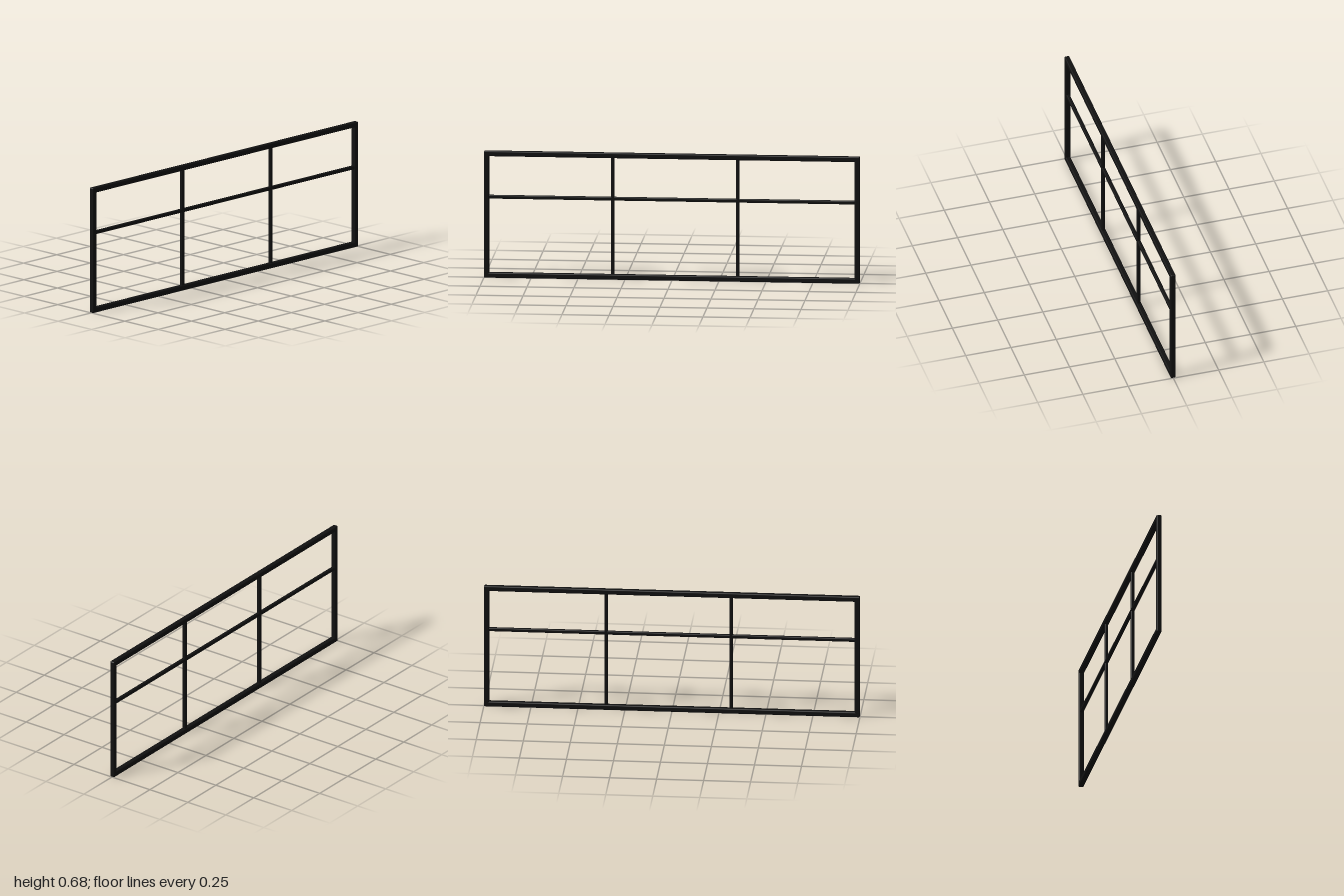
import * as THREE from 'three';
import { RoundedBoxGeometry } from 'three/addons/geometries/RoundedBoxGeometry.js';

const WIDTH = 2, HEIGHT = 0.684;
const FRAME = 0.028; // outer square tube
const BAR = 0.019;   // inner glazing bars

export function createModel() {
  const group = new THREE.Group();
  const material = new THREE.MeshStandardMaterial({ color: 0x111111 });

  // Straight square tube with softened edges
  function tube(name, w, h, d, x, y, radius) {
    const mesh = new THREE.Mesh(new RoundedBoxGeometry(w, h, d, 3, radius), material);
    mesh.name = name;
    mesh.position.set(x, y, 0);
    group.add(mesh);
  }

  // Outer frame
  const railY = HEIGHT - FRAME / 2;
  tube('topRail', WIDTH, FRAME, FRAME, 0, railY, 0.006);
  tube('bottomRail', WIDTH, FRAME, FRAME, 0, FRAME / 2, 0.006);
  for (const side of [-1, 1]) {
    tube(side > 0 ? 'leftStile' : 'rightStile', FRAME, HEIGHT, FRAME,
      side * (WIDTH - FRAME) / 2, HEIGHT / 2, 0.006);
  }

  // Glazing bars, ending inside the frame tubes
  tube('crossBar', WIDTH - FRAME, BAR, BAR, 0, 0.436, 0.005);
  for (const [name, x] of [['rightUprightBar', -0.315], ['leftUprightBar', 0.35]]) {
    tube(name, BAR, HEIGHT - FRAME, BAR, x, HEIGHT / 2, 0.005);
  }

  return group;
}
